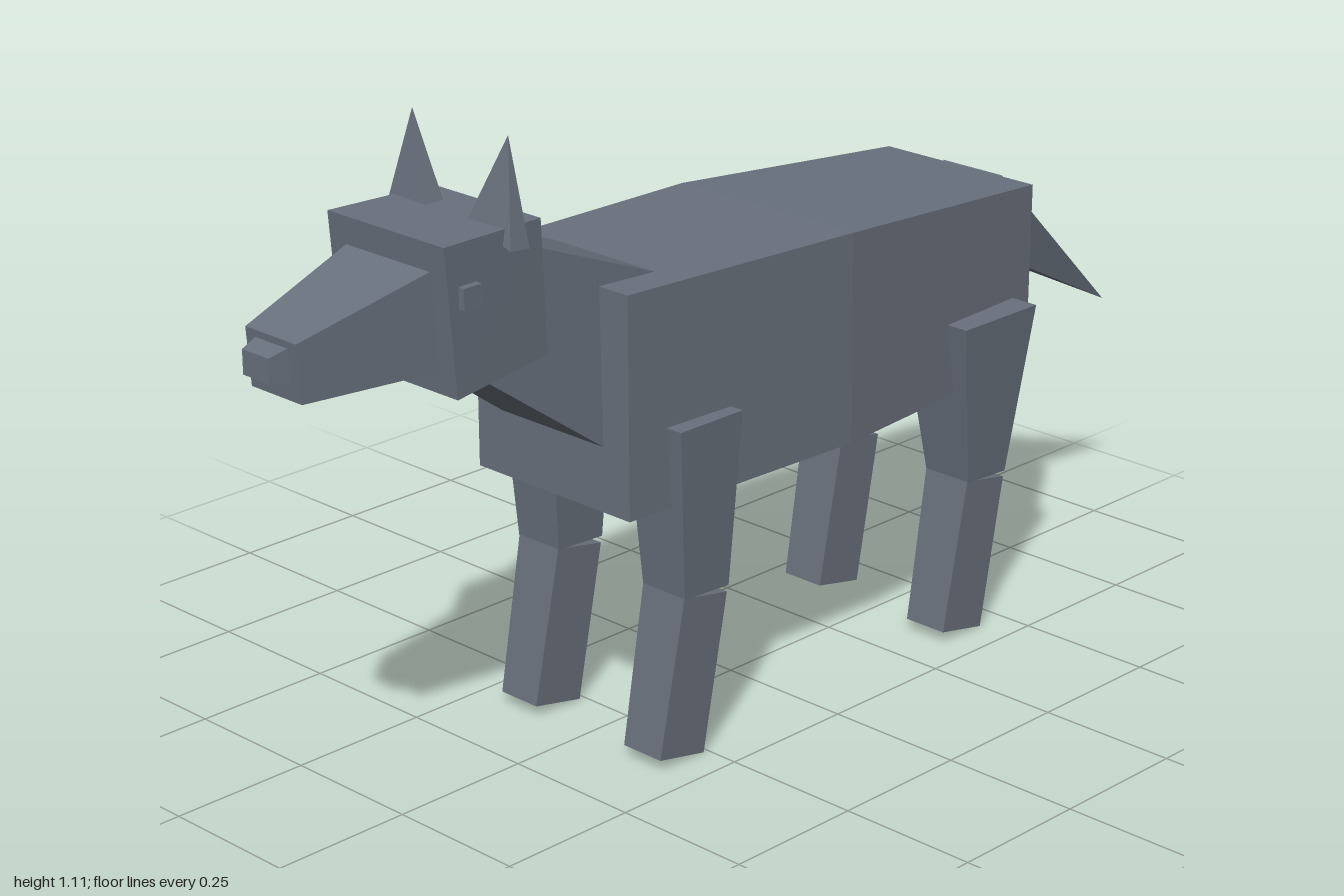
import * as THREE from 'three';
import { ConvexGeometry } from 'three/addons/geometries/ConvexGeometry.js';

const fur = new THREE.MeshStandardMaterial({ color: 0x69717d });
fur.name = 'slateFur';

// Rectangular section: two (z, y) edges, each spanning x0..x1
const section = (zA, yA, zB, yB, x0, x1) => [
  [x0, yA, zA], [x1, yA, zA], [x1, yB, zB], [x0, yB, zB],
];
// Section centred on x = 0
const mid = (zA, yA, zB, yB, w) => section(zA, yA, zB, yB, -w, w);

export function createModel() {
  const wolf = new THREE.Group();
  wolf.name = 'wolf';

  // Faceted solid around the given sections, side = -1 mirrors it in x
  const solid = (name, corners, side = 1) => {
    const points = corners.map(([x, y, z]) => new THREE.Vector3(x * side, y, z));
    const mesh = new THREE.Mesh(new ConvexGeometry(points), fur);
    mesh.name = name;
    wolf.add(mesh);
  };

  // Torso in two tapered blocks
  const waist = mid(-0.085, 0.818, -0.085, 0.45, 0.196);
  solid('chest', [...mid(0.41, 0.828, 0.41, 0.45, 0.175), ...waist]);
  solid('hips', [...waist, ...mid(-0.58, 0.782, -0.575, 0.46, 0.166)]);

  // Neck, head, snout and nose
  solid('neck', [...mid(0.28, 0.82, 0.38, 0.54, 0.119), ...mid(0.58, 0.938, 0.68, 0.757, 0.1)]);
  solid('head', [...mid(0.745, 0.975, 0.725, 0.73, 0.132), ...mid(0.54, 0.972, 0.53, 0.75, 0.122)]);
  solid('snout', [...mid(0.735, 0.93, 0.725, 0.767, 0.096), ...mid(0.97, 0.864, 0.963, 0.768, 0.058)]);
  solid('nose', [...mid(0.96, 0.855, 0.96, 0.797, 0.039), ...mid(1.0, 0.843, 1.0, 0.803, 0.03)]);

  // Tail tapering to a point
  solid('tail', [...mid(-0.615, 0.77, -0.54, 0.66, 0.067), [0, 0.43, -1]]);

  for (const side of [1, -1]) {
    const label = side > 0 ? 'left' : 'right';

    // Pointed ear, base tilted outwards
    solid(label + 'Ear', [
      [0.048, 0.972, 0.622], [0.143, 0.942, 0.622],
      [0.143, 0.938, 0.583], [0.048, 0.968, 0.583],
      [0.108, 1.11, 0.59],
    ], side);

    // Small block eye
    solid(label + 'Eye', [
      ...section(0.717, 0.907, 0.717, 0.872, 0.11, 0.143),
      ...section(0.681, 0.907, 0.681, 0.872, 0.11, 0.143),
    ], side);

    // Front leg
    solid(label + 'FrontThigh', [
      ...section(0.33, 0.588, 0.19, 0.588, 0.085, 0.21),
      ...section(0.308, 0.29, 0.207, 0.285, 0.1, 0.195),
    ], side);
    solid(label + 'FrontShin', [
      ...section(0.308, 0.292, 0.21, 0.274, 0.1, 0.194),
      ...section(0.36, 0.02, 0.26, 0, 0.105, 0.189),
    ], side);

    // Hind leg
    solid(label + 'HindThigh', [
      ...section(-0.345, 0.588, -0.53, 0.588, 0.075, 0.222),
      ...section(-0.39, 0.29, -0.488, 0.285, 0.1, 0.196),
    ], side);
    solid(label + 'HindShin', [
      ...section(-0.39, 0.292, -0.487, 0.274, 0.1, 0.194),
      ...section(-0.34, 0.02, -0.44, 0, 0.105, 0.189),
    ], side);
  }

  return wolf;
}
